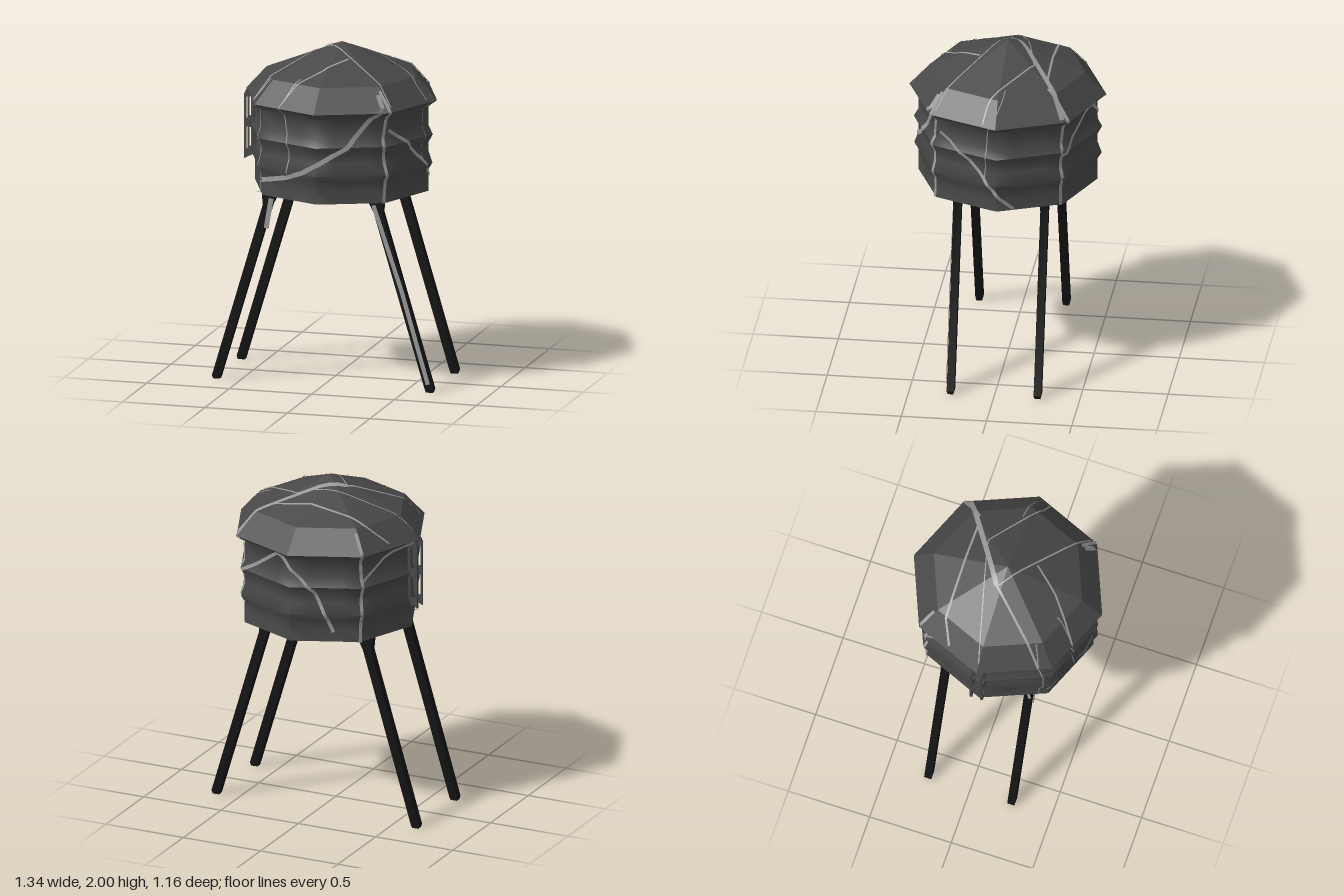
import * as THREE from 'three';
import { toCreasedNormals } from 'three/addons/utils/BufferGeometryUtils.js';

const CX = 0.035;
const tankMat = new THREE.MeshStandardMaterial({ color: 0x484848 });
const legMat = new THREE.MeshStandardMaterial({ color: 0x141414 });
const crackMat = new THREE.MeshStandardMaterial({ color: 0x999999, side: THREE.DoubleSide });

// Corner radius of the octagonal tank against height: wall, eave, roof
const WALL = [[0.525, 1.14], [0.525, 1.21], [0.525, 1.27], [0.55, 1.31], [0.525, 1.38], [0.525, 1.43],
  [0.552, 1.48], [0.525, 1.53], [0.525, 1.645], [0.578, 1.685]];
const ROOF = [[0.578, 1.685], [0.455, 1.82], [0, 2]];
const PROFILE = [...WALL, ...ROOF.slice(1)];

// Ratio of octagon to circle radius at an angle (corners every 45 degrees)
function octagon(a) {
  const step = Math.PI / 4;
  const m = ((a % step) + step) % step - step / 2;
  return Math.cos(step / 2) / Math.cos(m);
}

function lerpTable(table, from, to, v) {
  for (let i = 1; i < table.length; i++) {
    const a = table[i - 1], b = table[i];
    if ((v - a[from]) * (v - b[from]) <= 0) {
      return a[to] + (b[to] - a[to]) * (v - a[from]) / (b[from] - a[from]);
    }
  }
  return table[0][to];
}

// Point on the tank from an angle in degrees and a height
function wallPoint([deg, y]) {
  const a = deg * Math.PI / 180;
  const r = lerpTable(PROFILE, 1, 0, y) * octagon(a);
  return new THREE.Vector3(CX + r * Math.cos(a), y, r * Math.sin(a));
}

// Point on the roof from x and z
function roofPoint([x, z]) {
  const a = Math.atan2(z, x - CX);
  const rho = Math.min(0.577, Math.hypot(x - CX, z) / octagon(a));
  return new THREE.Vector3(x, lerpTable(ROOF, 0, 1, rho), z);
}

// Flat band that follows a path over a surface
function ribbon(path, width, toPoint, normalAt, lift = 0.006) {
  const pts = [];
  for (let i = 0; i < path.length - 1; i++) {
    for (let k = i ? 1 : 0; k <= 12; k++) {
      const t = k / 12;
      pts.push(toPoint(path[i].map((v, j) => v + (path[i + 1][j] - v) * t)));
    }
  }
  const pos = [], index = [];
  pts.forEach((p, i) => {
    const dir = pts[Math.min(i + 1, pts.length - 1)].clone().sub(pts[Math.max(i - 1, 0)]);
    const n = normalAt(p);
    const side = dir.cross(n).normalize().multiplyScalar(width / 2);
    const q = p.clone().addScaledVector(n, lift);
    pos.push(...q.clone().add(side).toArray(), ...q.clone().sub(side).toArray());
    if (i) index.push(2 * i - 2, 2 * i, 2 * i - 1, 2 * i - 1, 2 * i, 2 * i + 1);
  });
  const g = new THREE.BufferGeometry();
  g.setAttribute('position', new THREE.Float32BufferAttribute(pos, 3));
  g.setIndex(index);
  g.computeVertexNormals();
  return g;
}

// Lathe squared off into an octagon
function octLathe(profile, segments, dent = 0) {
  const g = new THREE.LatheGeometry(profile.map(([r, y]) => new THREE.Vector2(r, y)), segments);
  const p = g.attributes.position;
  for (let i = 0; i < p.count; i++) {
    const x = p.getX(i), z = p.getZ(i), y = p.getY(i);
    const a = Math.atan2(z, x);
    let k = octagon(a);
    const n = Math.round(a / (Math.PI * 2) * segments);
    if (dent && Math.abs(y - 1.21) < 0.01 && n % 4 !== 0) k -= dent * (n & 1);
    p.setXYZ(i, CX + x * k, y, z * k);
  }
  return g;
}

export function createModel() {
  const model = new THREE.Group();
  const add = (name, geometry, material, parent = model) => {
    const m = new THREE.Mesh(geometry, material);
    m.name = name;
    parent.add(m);
    return m;
  };

  // Tank
  add('tankWall', toCreasedNormals(octLathe(WALL, 32, 0.03), 0.9), tankMat);
  add('tankRoof', toCreasedNormals(octLathe(ROOF, 8), 0.2), tankMat);
  add('tankFloor', toCreasedNormals(octLathe([[0, 1.14], [0.525, 1.14]], 8), 0.2), tankMat);

  // Loose shell edge with two openings on the right side
  const edge = new THREE.Shape([[-0.49, 1.3], [-0.545, 1.27], [-0.545, 1.66], [-0.53, 1.69], [-0.48, 1.68]]
    .map((c) => new THREE.Vector2(...c)));
  for (const y of [1.33, 1.51]) {
    edge.holes.push(new THREE.Path([[-0.535, y], [-0.503, y], [-0.503, y + 0.13], [-0.535, y + 0.13]]
      .map((c) => new THREE.Vector2(...c))));
  }
  for (const z of [-0.04, 0.025]) {
    const g = new THREE.ExtrudeGeometry(edge, { depth: 0.015, bevelEnabled: false });
    add('looseShellEdge', g.translate(0, 0, z), tankMat);
  }

  // Cracks
  const cracks = new THREE.Group();
  cracks.name = 'cracks';
  model.add(cracks);
  const outward = (p) => new THREE.Vector3(p.x - CX, 0, p.z).normalize();
  const roofward = (p) => outward(p).multiplyScalar(0.4).add(new THREE.Vector3(0, 0.9, 0));
  const down = () => new THREE.Vector3(0, -1, 0);

  const wallCracks = [
    [0.028, [[48, 1.78], [48, 1.71], [70, 1.48], [100, 1.32], [115, 1.27], [136, 1.23]]],
    [0.02, [[46, 1.8], [44, 1.68], [47, 1.5], [45, 1.3], [46, 1.14]]],
    [0.02, [[42, 1.57], [24, 1.47], [9, 1.35], [-2, 1.22], [-11, 1.15]]],
    [0.022, [[-43, 1.84], [-45, 1.68], [-43, 1.5], [-43, 1.14]]],
    [0.02, [[-43, 1.46], [-80, 1.67], [-105, 1.45], [-118, 1.2]]],
    [0.006, [[8, 1.35], [6, 1.65], [-5, 1.85]]],
    [0.007, [[113, 1.84], [117, 1.68], [112, 1.45], [113, 1.28]]],
    [0.008, [[140, 1.82], [143, 1.68], [138, 1.4], [142, 1.14]]],
    [0.02, [[226, 1.8], [224, 1.5], [225, 1.14]]],
    [0.016, [[225, 1.5], [205, 1.62], [184, 1.68]]],
  ];
  for (const [w, path] of wallCracks) add('wallCrack', ribbon(path, w, wallPoint, outward), crackMat, cracks);

  const roofCracks = [
    [0.03, [[0.45, -0.37], [-0.08, -0.03]]],
    [0.014, [[-0.08, -0.03], [-0.4, 0.33]]],
    [0.009, [[-0.08, -0.02], [0.44, 0.37]]],
    [0.012, [[0.12, 0.15], [0, 0.3], [-0.2, 0.47]]],
    [0.014, [[0.28, -0.26], [-0.32, -0.26], [-0.44, -0.2]]],
    [0.009, [[0.18, -0.17], [0.5, 0.06], [0.57, 0.08]]],
    [0.007, [[0.18, -0.17], [-0.5, 0]]],
  ];
  for (const [w, path] of roofCracks) add('roofCrack', ribbon(path, w, roofPoint, roofward), crackMat, cracks);

  const floorPoint = ([x, z]) => new THREE.Vector3(x, 1.14, z);
  for (const path of [[[-0.33, -0.37], [0.05, -0.05], [0.4, 0.3]], [[-0.33, -0.37], [-0.1, 0.2], [0.1, 0.45]],
    [[0.4, -0.36], [0.05, -0.05], [-0.4, 0.28]]]) {
    add('floorCrack', ribbon(path, 0.014, floorPoint, down), crackMat, cracks);
  }

  // Splayed legs: square section, flared where they meet the tank
  const sections = [[0.645, 0, 0.02], [0.645, 0.02, 0.026], [0.335, 1.06, 0.027], [0.315, 1.15, 0.055]];
  for (const sx of [-1, 1]) {
    for (const sz of [-1, 1]) {
      const g = new THREE.BoxGeometry(1, 3, 1, 1, 3, 1);
      const p = g.attributes.position;
      for (let i = 0; i < p.count; i++) {
        const [x, y, h] = sections[Math.round(p.getY(i) + 1.5)];
        p.setXYZ(i, sx * x + 2 * h * p.getX(i), y, sz * 0.255 + 1.7 * Math.min(h, 0.03) * p.getZ(i));
      }
      add((sz > 0 ? 'front' : 'back') + (sx > 0 ? 'Left' : 'Right') + 'Leg', toCreasedNormals(g, 0.5), legMat);
    }
  }

  // Split faces on the front legs
  const legPoint = ([x, y]) => new THREE.Vector3(x, y, 0.28);
  const forward = () => new THREE.Vector3(0, 0, 1);
  add('legCrack', ribbon([[0.31, 1.1], [0.48, 0.6], [0.64, 0.05]], 0.026, legPoint, forward, 0.003), crackMat, cracks);
  add('legCrack', ribbon([[-0.31, 1.1], [-0.34, 0.92]], 0.03, legPoint, forward, 0.003), crackMat, cracks);

  return model;
}
